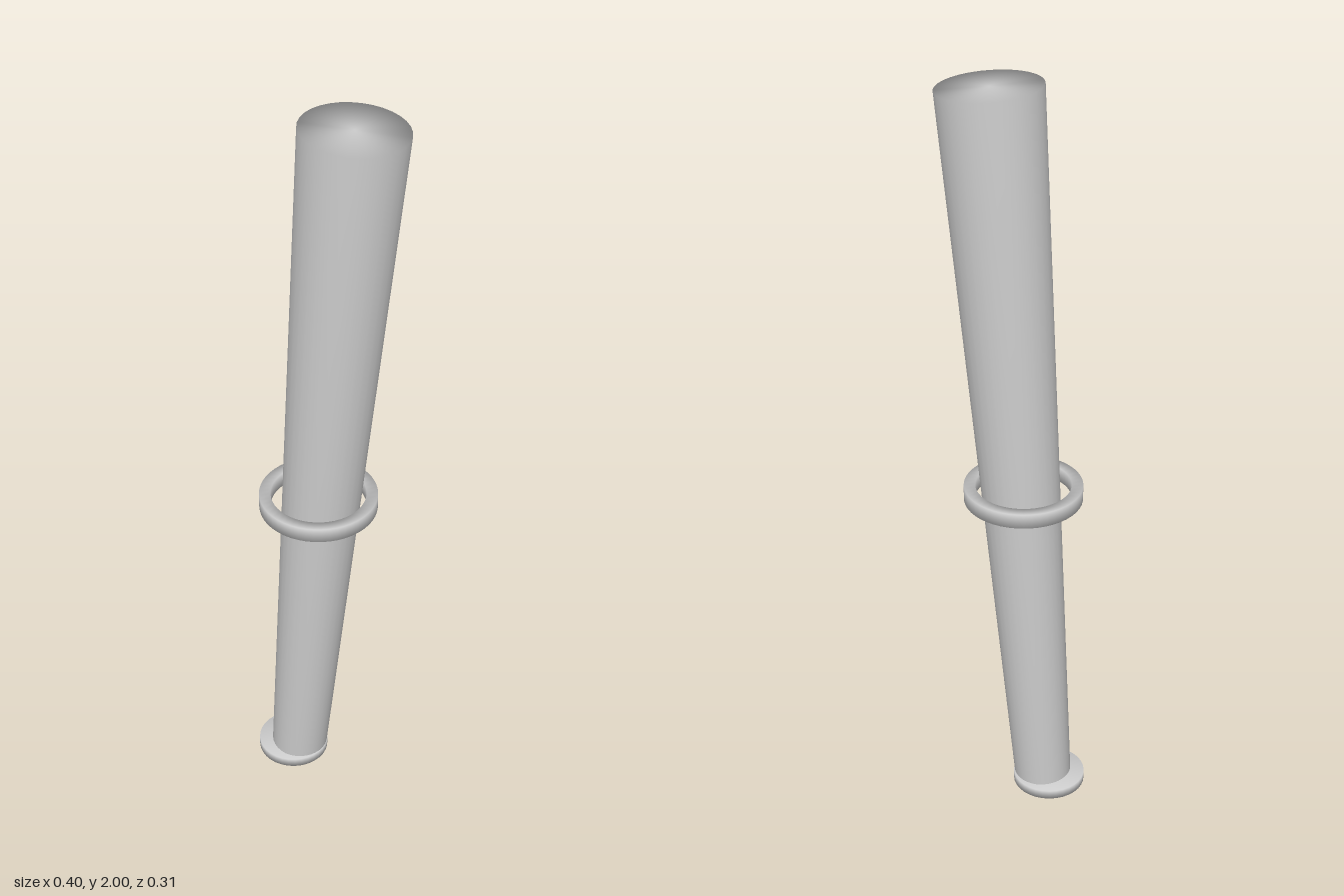
import * as THREE from 'three';
import { mergeVertices } from 'three/addons/utils/BufferGeometryUtils.js';

const SIDES = 32;
const material = new THREE.MeshStandardMaterial({ color: 0xcccccc });

// Shares vertices across edges so that the shading runs smoothly over the rims
function softPart(name, geometry) {
  geometry.deleteAttribute('normal');
  geometry.deleteAttribute('uv');
  const merged = mergeVertices(geometry, 1e-5);
  merged.computeVertexNormals();
  const mesh = new THREE.Mesh(merged, material);
  mesh.name = name;
  return mesh;
}

export function createModel() {
  const group = new THREE.Group();
  group.name = 'baton';

  // Tapered shaft, leaning towards +x
  const bottom = new THREE.Vector3(-0.083, 0.025, 0);
  const top = new THREE.Vector3(0.066, 1.99, 0);
  const axis = top.clone().sub(bottom);
  const shaft = softPart('shaft', new THREE.CylinderGeometry(0.132, 0.078, axis.length(), SIDES));
  shaft.position.copy(bottom).add(top).multiplyScalar(0.5);
  shaft.quaternion.setFromUnitVectors(new THREE.Vector3(0, 1, 0), axis.normalize());
  group.add(shaft);

  // Level disc at the foot
  const foot = softPart('footDisc', new THREE.CylinderGeometry(0.098, 0.098, 0.026, SIDES));
  foot.position.set(-0.102, 0.013, 0);
  group.add(foot);

  // Level ring of rectangular section around the shaft
  const section = [[0.125, -0.02], [0.155, -0.02], [0.155, 0.02], [0.125, 0.02], [0.125, -0.02]];
  const ring = softPart('ring', new THREE.LatheGeometry(
    section.map(([r, y]) => new THREE.Vector2(r, y)), 48));
  ring.position.set(-0.023, 0.918, 0);
  group.add(ring);

  return group;
}
